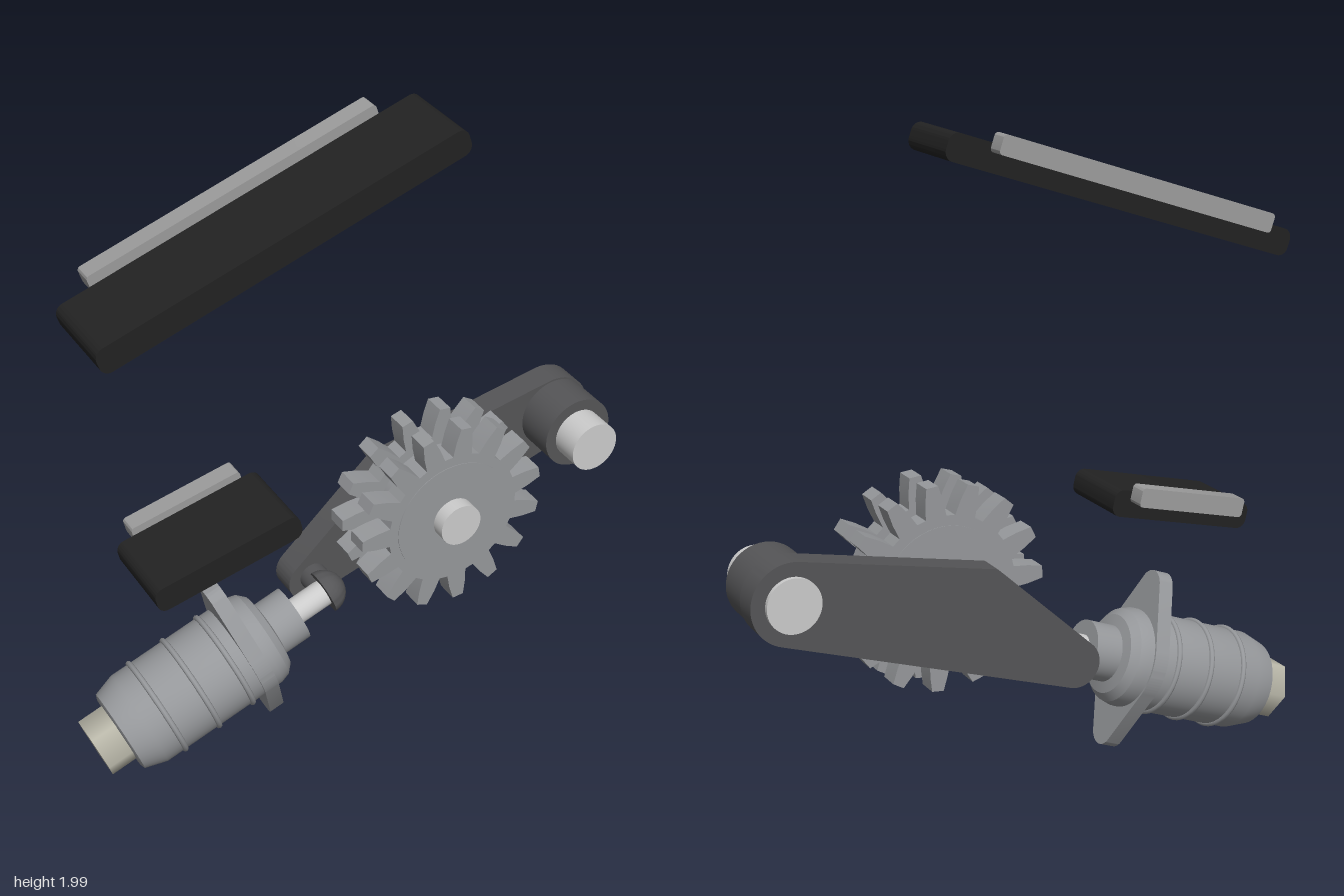
import * as THREE from 'three';
import { toCreasedNormals } from 'three/addons/utils/BufferGeometryUtils.js';

const mat = (color) => new THREE.MeshStandardMaterial({ color });
const black = mat(0x222222), dark = mat(0x555557), steel = mat(0x96989b);
const light = mat(0xcccccc), nickel = mat(0xb8b6a8), trim = mat(0x9c9c9c);

function add(parent, name, geometry, material, x = 0, y = 0, z = 0) {
  const mesh = new THREE.Mesh(geometry, material);
  mesh.name = name;
  mesh.position.set(x, y, z);
  parent.add(mesh);
  return mesh;
}

// Flat outline extruded along z, with sharp rims and smooth curved sides
function plate(shape, depth) {
  const geo = new THREE.ExtrudeGeometry(shape, { depth, bevelEnabled: false, curveSegments: 16 });
  return toCreasedNormals(geo, 0.5);
}

// Outline wrapped around circles [x, y, r] listed counter-clockwise
function wrap(circles) {
  const n = circles.length;
  const tangent = (a, b) => {
    const dx = b[0] - a[0], dy = b[1] - a[1];
    return Math.atan2(dy, dx) - Math.acos((a[2] - b[2]) / Math.hypot(dx, dy));
  };
  const shape = new THREE.Shape();
  circles.forEach((c, i) => {
    const from = tangent(circles[(i + n - 1) % n], c);
    const to = tangent(c, circles[(i + 1) % n]);
    if (i === 0) shape.moveTo(c[0] + c[2] * Math.cos(from), c[1] + c[2] * Math.sin(from));
    shape.absarc(c[0], c[1], c[2], from, to, false);
  });
  return shape;
}

function roundedBar(length, thickness, r) {
  const x = length / 2 - r, y = thickness / 2 - r;
  return wrap([[x, -y, r], [x, y, r], [-x, y, r], [-x, -y, r]]);
}

// Cylinder along z between two depths
function pin(parent, name, x, y, r, z0, z1, material) {
  const geo = new THREE.CylinderGeometry(r, r, z1 - z0, 48).rotateX(Math.PI / 2);
  return add(parent, name, geo, material, x, y, (z0 + z1) / 2);
}

// Tilted black pad with a thin strip along its back edge
function pad(name, x, y, angle, length, stripX, stripY, stripLength) {
  const g = new THREE.Group();
  g.name = name;
  add(g, 'padBlock', plate(roundedBar(length, 0.084, 0.03), 0.26), black, 0, 0, -0.08);
  add(g, 'padStrip', plate(roundedBar(stripLength, 0.06, 0.012), 0.06), trim, stripX, stripY, -0.14);
  g.position.set(x, y, 0);
  g.rotation.z = angle;
  return g;
}

function gearShape(teeth, root, tip, phase) {
  const shape = new THREE.Shape();
  const pitch = (2 * Math.PI) / teeth;
  const profile = [[-0.35, root], [-0.25, (root + tip) / 2], [-0.14, tip],
    [0.14, tip], [0.25, (root + tip) / 2], [0.35, root]];
  for (let i = 0; i < teeth; i++) {
    profile.forEach(([t, r], k) => {
      const a = phase + (i + t) * pitch;
      const p = [r * Math.cos(a), r * Math.sin(a)];
      if (i + k === 0) shape.moveTo(...p); else shape.lineTo(...p);
    });
  }
  shape.closePath();
  return shape;
}

function lathe(points) {
  const geo = new THREE.LatheGeometry(points.map(([r, s]) => new THREE.Vector2(r, s)), 48);
  return toCreasedNormals(geo, 0.4);
}

export function createModel() {
  const model = new THREE.Group();
  model.name = 'gearedActuator';

  // Floating pads
  model.add(pad('upperPad', -0.3, 1.776, 0.317, 1.2, -0.008, 0.045, 0.95));
  model.add(pad('lowerPad', -0.51, 0.79, 0.225, 0.485, 0.003, 0.037, 0.37));

  // Twin gears on a shared hub and shaft
  const gears = new THREE.Group();
  gears.name = 'twinGear';
  gears.position.set(0.275, 0.643, 0);
  const gearGeo = plate(gearShape(15, 0.228, 0.322, (83 * Math.PI) / 180), 0.07);
  add(gears, 'frontGear', gearGeo, steel, 0, 0, 0.075);
  add(gears, 'rearGear', gearGeo, steel, 0, 0, -0.048);
  pin(gears, 'gearHub', 0, 0, 0.196, -0.05, 0.147, steel);
  pin(gears, 'gearShaft', 0, 0, 0.07, -0.1, 0.193, light);
  model.add(gears);

  // Link arm with its boss and pivot pin
  const arm = wrap([[0.803, 0.72, 0.126], [0.175, 0.71, 0.02], [-0.1, 0.385, 0.075]]);
  add(model, 'linkArm', plate(arm, 0.088), dark, 0, 0, -0.18);
  pin(model, 'armBoss', 0.803, 0.72, 0.12, -0.1, 0.045, dark);
  pin(model, 'armPin', 0.803, 0.72, 0.083, -0.195, 0.14, light);

  // Actuator, built upward along its own axis and then tilted
  const actuator = new THREE.Group();
  actuator.name = 'actuator';
  actuator.position.set(-0.902, 0.106, 0);
  actuator.rotation.z = (20 * Math.PI) / 180 - Math.PI / 2;
  add(actuator, 'hexCap', new THREE.CylinderGeometry(0.1, 0.1, 0.12, 6).toNonIndexed(), nickel, 0, 0.06, 0);
  add(actuator, 'actuatorBody', lathe([[0, 0.085], [0.12, 0.085], [0.135, 0.09], [0.157, 0.16],
    [0.157, 0.585], [0.148, 0.615], [0.125, 0.638], [0.09, 0.645], [0.09, 0.737], [0, 0.737]]), steel);
  for (const s of [0.225, 0.35, 0.475]) {
    add(actuator, 'bodyRib', new THREE.TorusGeometry(0.157, 0.009, 8, 48).rotateX(Math.PI / 2), steel, 0, s, 0);
  }
  const flange = wrap([[0.235, 0, 0.055], [0, 0, 0.163], [-0.235, 0, 0.055], [0, 0, 0.163]]);
  add(actuator, 'mountingFlange', plate(flange, 0.05).rotateX(-Math.PI / 2), steel, 0, 0.519, 0);
  add(actuator, 'rod', new THREE.CylinderGeometry(0.043, 0.043, 0.16, 32), light, 0, 0.8, 0);

  // Domed rod end
  const dome = [[0, 0.85], [0.07, 0.85]];
  for (let i = 1; i <= 8; i++) {
    const a = (i / 8) * Math.PI / 2;
    dome.push([0.07 * Math.cos(a), 0.85 + 0.07 * Math.sin(a)]);
  }
  add(actuator, 'rodEnd', lathe(dome), dark);
  model.add(actuator);
  pin(model, 'rodPin', -0.09, 0.395, 0.045, -0.1, 0, dark);

  return model;
}
